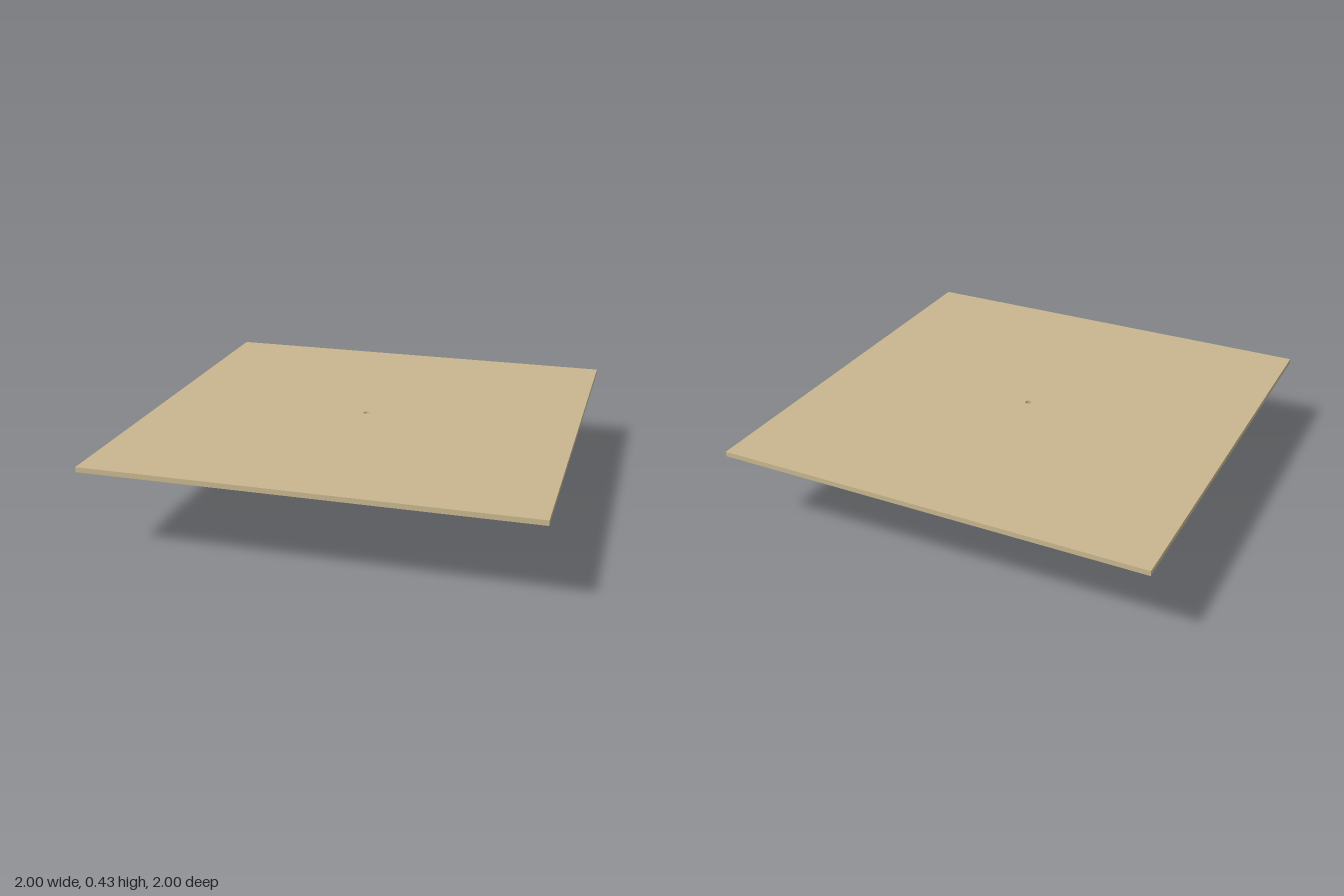
import * as THREE from 'three';

export function createModel() {
  const model = new THREE.Group();
  const sand = new THREE.MeshStandardMaterial({ color: 0xc8b68e });
  sand.name = 'sand';

  const add = (name, geometry, x = 0, y = 0, z = 0) => {
    const mesh = new THREE.Mesh(geometry, sand);
    mesh.name = name;
    mesh.position.set(x, y, z);
    model.add(mesh);
    return mesh;
  };

  // ceiling slab with a small round hole for the rope
  const outline = new THREE.Shape([[-1, -1], [1, -1], [1, 1], [-1, 1]].map(p => new THREE.Vector2(...p)));
  const hole = new THREE.Path();
  hole.absarc(0, 0, 0.015, 0, Math.PI * 2, true);
  outline.holes.push(hole);
  const slab = new THREE.ExtrudeGeometry(outline, { depth: 0.023, bevelEnabled: false, curveSegments: 8 });
  slab.rotateX(-Math.PI / 2);
  add('ceilingSlab', slab, 0, 0.405, 0);

  // twisted hanging rope of three strands
  for (let s = 0; s < 3; s++) {
    const points = [];
    for (let i = 0; i <= 40; i++) {
      const a = (i / 40) * Math.PI * 2 * 1.7 + (s * Math.PI * 2) / 3;
      points.push(new THREE.Vector3(Math.cos(a) * 0.0075, 0.135 + (i / 40) * 0.275, Math.sin(a) * 0.0075));
    }
    add('ropeStrand', new THREE.TubeGeometry(new THREE.CatmullRomCurve3(points), 80, 0.0075, 8));
  }

  // square pyramid cap and the stepped collar below it
  const squareFrustum = (top, bottom, height) => {
    const g = new THREE.CylinderGeometry(top * Math.SQRT2, bottom * Math.SQRT2, height, 4).toNonIndexed();
    g.rotateY(Math.PI / 4);
    g.computeVertexNormals();
    return g;
  };
  add('pyramidCap', squareFrustum(0.01, 0.07, 0.057), 0, 0.1135, 0);
  add('capRim', new THREE.BoxGeometry(0.14, 0.008, 0.14), 0, 0.081, 0);
  add('collar', squareFrustum(0.07, 0.058, 0.012), 0, 0.071, 0);
  add('neck', new THREE.BoxGeometry(0.124, 0.012, 0.124), 0, 0.062, 0);

  // weight block
  add('block', new THREE.BoxGeometry(0.14, 0.048, 0.14), 0, 0.034, 0);

  // short pegs standing out of the block on all sides
  for (let side = 0; side < 4; side++) {
    const holder = new THREE.Group();
    holder.name = 'sidePegs';
    holder.rotation.y = (side * Math.PI) / 2;
    const pegs = side % 2 ? [[0, 0.036]] : [[-0.015, 0.026], [0.03, 0.026], [-0.012, 0.04], [0.032, 0.04]];
    for (const [x, y] of pegs) {
      const peg = new THREE.Mesh(new THREE.BoxGeometry(0.02, 0.005, 0.01), sand);
      peg.name = 'peg';
      peg.position.set(x, y, 0.074);
      holder.add(peg);
    }
    model.add(holder);
  }

  // small studs under the block
  for (const z of [-0.035, 0.035]) add('bottomStud', new THREE.CylinderGeometry(0.006, 0.004, 0.01, 8), 0, 0.005, z);

  return model;
}
